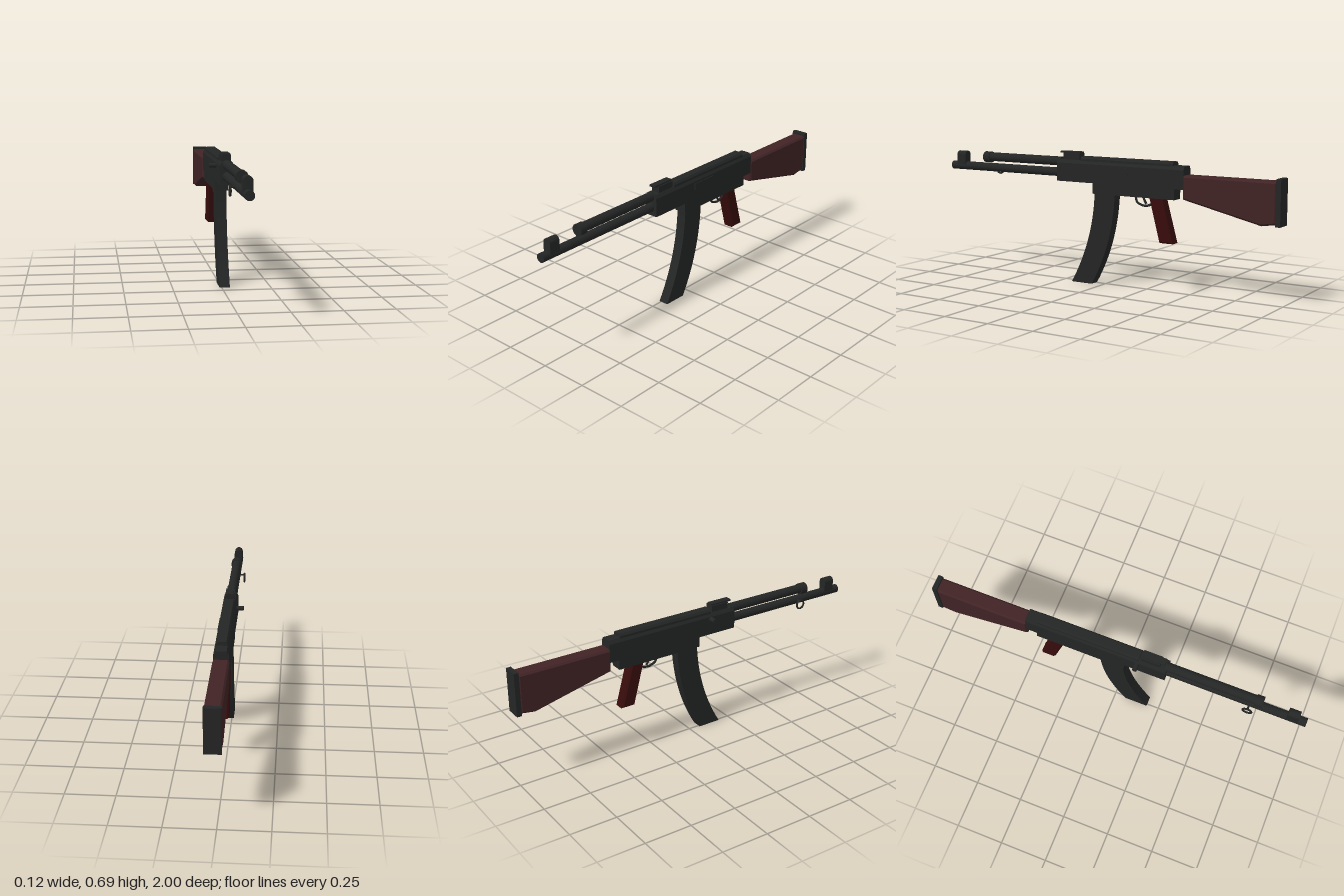
import * as THREE from 'three';

export function createModel() {
  const model = new THREE.Group();
  model.name = 'rifle';
  const gun = new THREE.Group();
  gun.name = 'centredParts';
  gun.position.x = 0.016;
  model.add(gun);

  const mat = (name, color) => {
    const m = new THREE.MeshStandardMaterial({ color });
    m.name = name;
    return m;
  };
  const metal = mat('darkMetal', 0x242525);
  const wood = mat('brownWood', 0x402325);
  const redWood = mat('redWood', 0x380c0c);

  const add = (name, geo, m = metal, x = 0, y = 0, z = 0) => {
    const mesh = new THREE.Mesh(geo, m);
    mesh.name = name;
    mesh.position.set(x, y, z);
    gun.add(mesh);
    return mesh;
  };
  const polygon = pts => new THREE.Shape(pts.map(p => new THREE.Vector2(...p)));
  // Side outline in (z, y), given a width across x
  const sidePart = (name, shape, width, m, bevel = 0) => {
    const geo = new THREE.ExtrudeGeometry(shape, {
      depth: width - 2 * bevel, curveSegments: 14, bevelEnabled: bevel > 0,
      bevelSize: bevel, bevelThickness: bevel, bevelOffset: -bevel, bevelSegments: 1,
    });
    geo.translate(0, 0, bevel - width / 2).rotateY(-Math.PI / 2);
    return add(name, geo, m);
  };
  // Front outline in (x, y), run from z0 to z1
  const lengthPart = (name, shape, z0, z1) =>
    add(name, new THREE.ExtrudeGeometry(shape, { depth: z1 - z0, bevelEnabled: false, curveSegments: 10 }), metal, 0, 0, z0);
  const box = (name, w, y0, y1, z0, z1, x = 0) =>
    add(name, new THREE.BoxGeometry(w, y1 - y0, z1 - z0), metal, x, (y0 + y1) / 2, (z0 + z1) / 2);
  const rod = (name, r, y, z0, z1) =>
    add(name, new THREE.CylinderGeometry(r, r, z1 - z0, 28).rotateX(Math.PI / 2), metal, 0, y, (z0 + z1) / 2);

  // Receiver with chamfered top, cover and lower housing
  lengthPart('receiver', polygon([
    [-0.037, 0.535], [0.037, 0.535], [0.037, 0.632], [0.027, 0.65], [-0.027, 0.65], [-0.037, 0.632],
  ]), -0.484, 0.27);
  lengthPart('topCover', polygon([
    [-0.029, 0.645], [0.029, 0.645], [0.029, 0.658], [0.021, 0.669], [-0.021, 0.669], [-0.029, 0.658],
  ]), -0.42, 0.125);
  box('lowerReceiver', 0.066, 0.48, 0.537, -0.43, 0.05);
  box('ejectionPort', 0.006, 0.588, 0.622, -0.165, -0.02, 0.038);

  // Charging handle
  const handle = add('chargingHandle', new THREE.CylinderGeometry(0.012, 0.012, 0.05, 20), metal, -0.049, 0.62, 0.12);
  handle.rotation.z = Math.PI / 2;

  // Barrel and gas tube
  rod('barrel', 0.023, 0.578, 0.26, 1);
  rod('gasTube', 0.024, 0.636, 0.26, 0.75);
  rod('gasTubeCap', 0.03, 0.634, 0.73, 0.77);

  // Sights
  const post = new THREE.Shape();
  post.moveTo(-0.022, 0.58);
  post.lineTo(0.022, 0.58);
  post.lineTo(0.022, 0.638);
  post.absarc(0, 0.638, 0.022, 0, Math.PI, false);
  post.closePath();
  lengthPart('frontSight', post, 0.9, 0.958);
  box('rearSightBase', 0.048, 0.645, 0.684, 0.135, 0.235);
  box('rearSightLeaf', 0.036, 0.683, 0.692, 0.135, 0.258);

  // Sling ring beside the barrel
  add('slingRing', new THREE.TorusGeometry(0.023, 0.005, 10, 28).rotateY(Math.PI / 2), metal, -0.046, 0.565, 0.708);
  const link = add('slingRingPin', new THREE.CylinderGeometry(0.005, 0.005, 0.03, 10), metal, -0.032, 0.582, 0.708);
  link.rotation.z = Math.PI / 2;

  // Curved magazine
  const mag = new THREE.Shape();
  mag.moveTo(0.04, 0.49);
  mag.quadraticCurveTo(0.05, 0.23, 0.185, 0);
  mag.lineTo(0.06, 0);
  mag.quadraticCurveTo(-0.07, 0.22, -0.082, 0.49);
  mag.closePath();
  sidePart('magazine', mag, 0.053, metal);

  // Trigger and guard
  const tube = (name, pts, r) => add(name, new THREE.TubeGeometry(
    new THREE.CatmullRomCurve3(pts.map(([z, y]) => new THREE.Vector3(0, y, z))), 24, r, 8));
  tube('triggerGuard', [[-0.19, 0.485], [-0.2, 0.452], [-0.245, 0.435], [-0.288, 0.45], [-0.3, 0.485]], 0.006);
  tube('trigger', [[-0.235, 0.485], [-0.242, 0.465], [-0.254, 0.445]], 0.006);

  // Grip and stock with bevelled edges, and butt plate
  sidePart('grip', polygon([[-0.283, 0.49], [-0.357, 0.49], [-0.422, 0.256], [-0.345, 0.256]]), 0.066, redWood, 0.009);
  sidePart('stock', polygon([
    [-0.48, 0.606], [-0.978, 0.606], [-0.978, 0.402], [-0.9, 0.39], [-0.48, 0.487],
  ]), 0.081, wood, 0.009);
  box('buttPlate', 0.082, 0.392, 0.62, -1, -0.975);

  return model;
}
